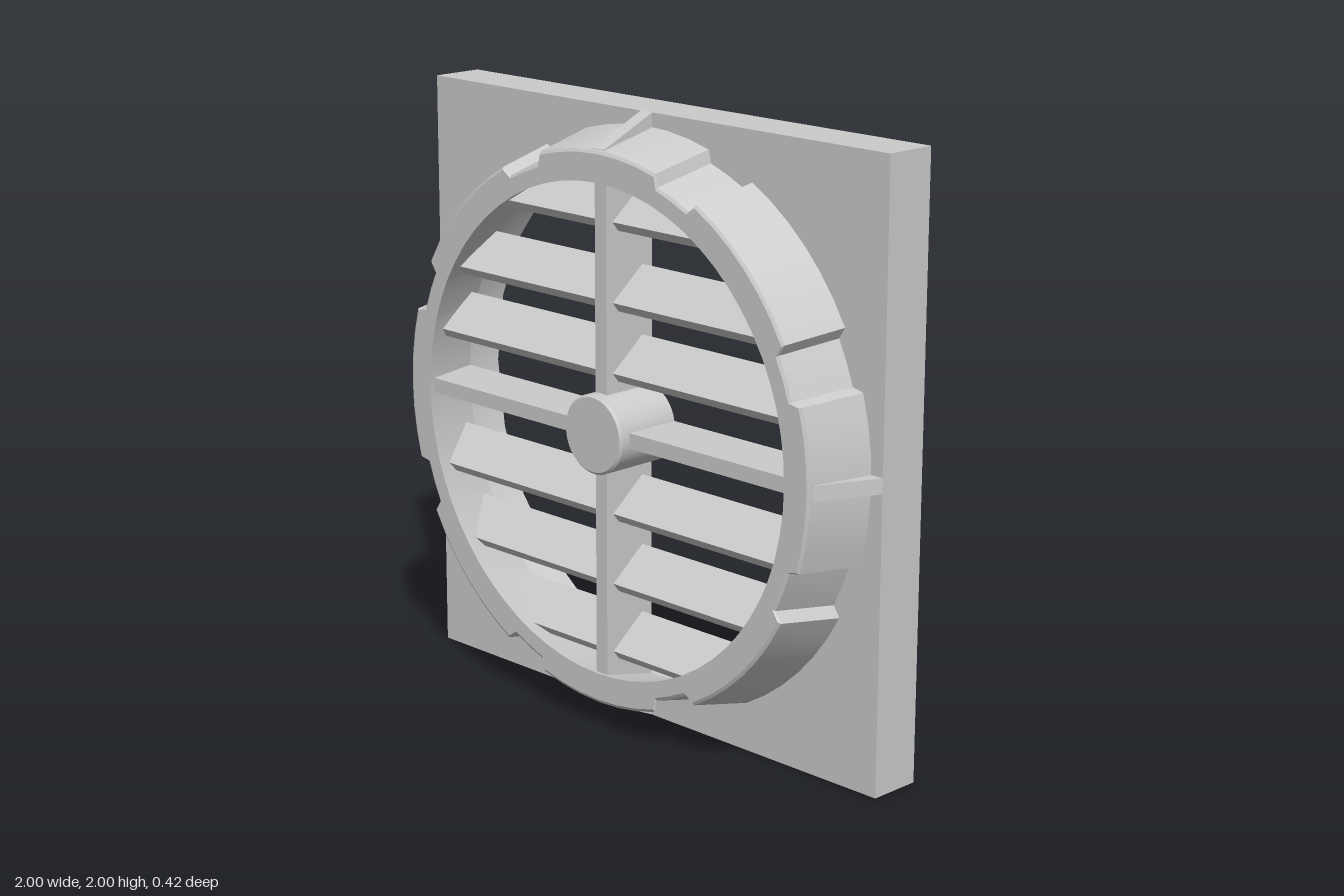
import * as THREE from 'three';
import { toCreasedNormals } from 'three/addons/utils/BufferGeometryUtils.js';

const BACK = -0.21, FACE = -0.03, FRONT = 0.19;
// bore radius of the tapered collar at depth z
const bore = (z) => THREE.MathUtils.mapLinear(z, FACE, FRONT, 0.857, 0.805);

export function createModel() {
  const group = new THREE.Group();
  const grey = new THREE.MeshStandardMaterial({ color: 0xcccccc });
  const add = (name, geometry, parent = group) => {
    const mesh = new THREE.Mesh(geometry, grey);
    mesh.name = name;
    parent.add(mesh);
    return mesh;
  };

  // everything is modelled around the hub axis, then raised to stand on y = 0
  const body = new THREE.Group();
  body.name = 'ventGrille';
  body.position.y = 1;
  group.add(body);

  // square mounting plate with a round opening
  const plate = new THREE.Shape([[-1, -1], [1, -1], [1, 1], [-1, 1]].map(([x, y]) => new THREE.Vector2(x, y)));
  const opening = [];
  for (let i = 0; i < 24; i++) {
    const a = (i / 24) * Math.PI * 2;
    opening.push(new THREE.Vector2(0.915 * Math.cos(a), 0.915 * Math.sin(a)));
  }
  plate.holes.push(new THREE.Path(opening));
  const plateGeo = new THREE.ExtrudeGeometry(plate, { depth: FACE - BACK, bevelEnabled: false });
  plateGeo.translate(0, 0, BACK);
  add('mountingPlate', toCreasedNormals(plateGeo, 0.35), body);

  add('collar', collarGeometry(), body);

  // tapered ribs on the outside of the collar
  const rib = new THREE.Shape([[0.88, FACE], [1, FACE], [0.908, 0.177], [0.88, 0.177]].map(([r, z]) => new THREE.Vector2(r, z)));
  const ribGeo = new THREE.ExtrudeGeometry(rib, { depth: 0.05, bevelEnabled: false });
  ribGeo.translate(0, 0, -0.025).rotateX(Math.PI / 2);
  for (let i = 0; i < 4; i++) add('collarRib', ribGeo, body).rotation.z = (i * Math.PI) / 2;

  // cross bars and hub
  const barDepth = 0.2, barZ = FACE + barDepth / 2;
  add('verticalBar', new THREE.BoxGeometry(0.05, 1.714, barDepth), body).position.z = barZ;
  add('horizontalBar', new THREE.BoxGeometry(1.714, 0.05, barDepth), body).position.z = barZ;
  const hub = new THREE.LatheGeometry(
    [[0, FACE], [0.13, FACE], [0.13, 0.2], [0.122, 0.208], [0, 0.208]].map(([r, z]) => new THREE.Vector2(r, z)), 40);
  hub.rotateX(Math.PI / 2);
  add('hub', toCreasedNormals(hub, 0.5), body);

  // sloping louvre slats, lower at the front
  for (const y of [0.715, 0.458, 0.23, -0.232, -0.467, -0.697]) add('slat', slatGeometry(y), body);

  return group;
}

// tapered ring with eight shallow recesses around its outside
function collarGeometry() {
  const sections = [];
  for (let k = 0; k < 8; k++) {
    for (const deg of [-16.5, -11, -5.5, 0, 5.5, 11, 16.5, 17.8, 22.5, 27.2]) {
      const a = THREE.MathUtils.degToRad(deg + 45 * k);
      const cut = deg > 17 ? 0.037 : 0;
      const profile = [[0.955 - cut, FACE], [0.905 - cut, FRONT - 0.006], [0.895 - cut, FRONT], [bore(FRONT), FRONT], [bore(FACE), FACE]];
      sections.push(profile.map(([r, z]) => [r * Math.cos(a), r * Math.sin(a), z]));
    }
  }
  const pos = [], n = sections.length, m = sections[0].length;
  for (let i = 0; i < n; i++) {
    for (let j = 0; j < m; j++) {
      const s = sections[i], t = sections[(i + 1) % n], q = (j + 1) % m;
      pos.push(...s[j], ...t[j], ...t[q], ...s[j], ...t[q], ...s[q]);
    }
  }
  const geo = new THREE.BufferGeometry();
  geo.setAttribute('position', new THREE.Float32BufferAttribute(pos, 3));
  return toCreasedNormals(geo, 0.35);
}

// tilted board whose ends are trimmed to the inside of the collar
function slatGeometry(y) {
  const geo = new THREE.BoxGeometry(2, 0.039, 0.167, 1, 1, 4);
  geo.rotateX(0.68).translate(0, y, 0.065);
  const p = geo.attributes.position;
  for (let i = 0; i < p.count; i++) {
    const r = bore(p.getZ(i)) + 0.02;
    const half = Math.sqrt(Math.max(r * r - p.getY(i) ** 2, 0.01));
    p.setX(i, Math.sign(p.getX(i)) * half);
  }
  return toCreasedNormals(geo, 0.5);
}
